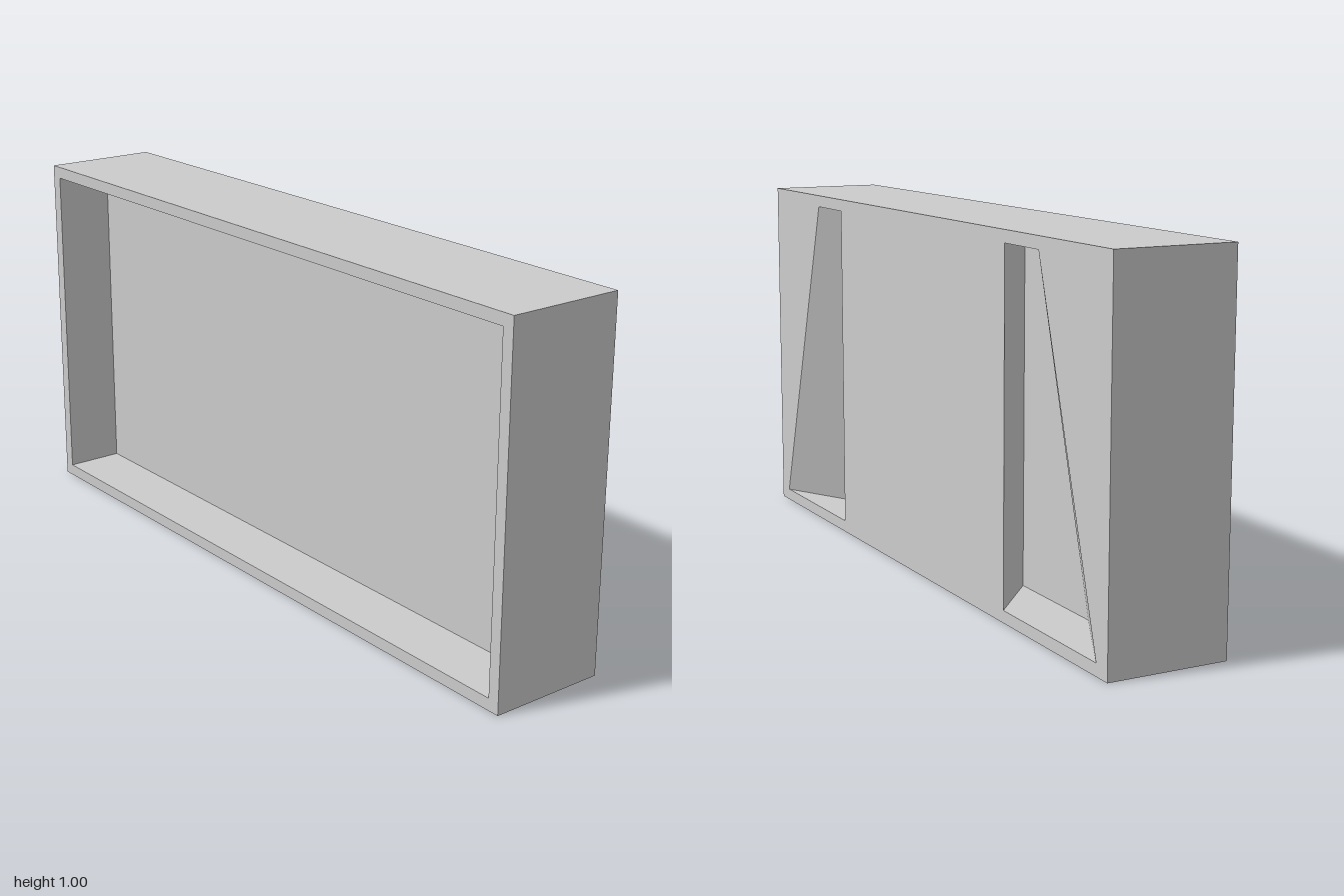
import * as THREE from 'three';

const FRONT = 1 / 6, BACK = -1 / 6;   // x of the two broad faces
const RIM = 1 / 30;                   // wall thickness around the recess
const POCKET = 1 / 60;                // x of the pocket floors
const LOW = RIM, HIGH = 1 - RIM;

const material = new THREE.MeshStandardMaterial({ color: 0xcccccc });

// Outlines are [z, y] corners, counterclockwise seen from +x
const rect = (z0, z1, y0, y1) => [[z1, y0], [z0, y0], [z0, y1], [z1, y1]];
const outer = rect(-1, 1, 0, 1);
const recess = rect(-1 + RIM, 1 - RIM, LOW, HIGH);
const slotMouth = [[0.95, LOW], [0.5, LOW], [0.5, HIGH], [2 / 3, HIGH]];
const slotFloor = rect(1 / 3, 2 / 3, LOW, HIGH);
const mirrorZ = (loop) => loop.map(([z, y]) => [-z, y]).reverse();

// Flat panel at a given x, facing +x (side 1) or -x (side -1)
function panel(loop, x, side, holes = []) {
  const to2d = (l) => l.map(([z, y]) => new THREE.Vector2(-side * z, y));
  const shape = new THREE.Shape(to2d(loop));
  shape.holes = holes.map((h) => new THREE.Path(to2d(h)));
  return new THREE.ShapeGeometry(shape).rotateY(side * Math.PI / 2).translate(x, 0, 0);
}

// Ring of four-sided walls between two outlines, each with one flat normal
function walls(frontLoop, frontX, backLoop, backX, inward) {
  const positions = [], normals = [];
  const point = (x, [z, y]) => new THREE.Vector3(x, y, z);
  frontLoop.forEach((_, i) => {
    const j = (i + 1) % frontLoop.length;
    const [m, n] = inward ? [j, i] : [i, j];
    const a = point(backX, backLoop[m]), b = point(backX, backLoop[n]);
    const c = point(frontX, frontLoop[n]), d = point(frontX, frontLoop[m]);
    const normal = c.clone().sub(a).cross(d.clone().sub(b)).normalize();
    for (const p of [a, b, c, a, c, d]) {
      positions.push(p.x, p.y, p.z);
      normals.push(normal.x, normal.y, normal.z);
    }
  });
  const geometry = new THREE.BufferGeometry();
  geometry.setAttribute('position', new THREE.Float32BufferAttribute(positions, 3));
  geometry.setAttribute('normal', new THREE.Float32BufferAttribute(normals, 3));
  return geometry;
}

export function createModel() {
  const model = new THREE.Group();
  model.name = 'slottedPanelBox';
  const add = (parent, name, geometry) => {
    const mesh = new THREE.Mesh(geometry, material);
    mesh.name = name;
    parent.add(mesh);
  };

  // Outer shell
  add(model, 'outerSides', walls(outer, FRONT, outer, BACK, false));
  add(model, 'slottedFace', panel(outer, FRONT, 1, [slotMouth, mirrorZ(slotMouth)]));
  add(model, 'recessRim', panel(outer, BACK, -1, [recess]));

  // Open recess on the other broad face. Its floor faces -x
  const recessWalls = walls(recess, 0, recess, BACK, true);
  add(model, 'recessWalls', recessWalls);
  add(model, 'recessFloor', panel(recess, 0, -1));

  // Mirrored pockets with a slanted mouth and an undercut inner wall
  for (const side of [1, -1]) {
    const pocket = new THREE.Group();
    pocket.name = side > 0 ? 'frontPocket' : 'backPocket';
    add(pocket, 'pocketWalls', walls(slotMouth, FRONT, slotFloor, POCKET, true));
    add(pocket, 'pocketFloor', panel(slotFloor, POCKET, 1));
    pocket.scale.z = side;
    model.add(pocket);
  }
  return model;
}
